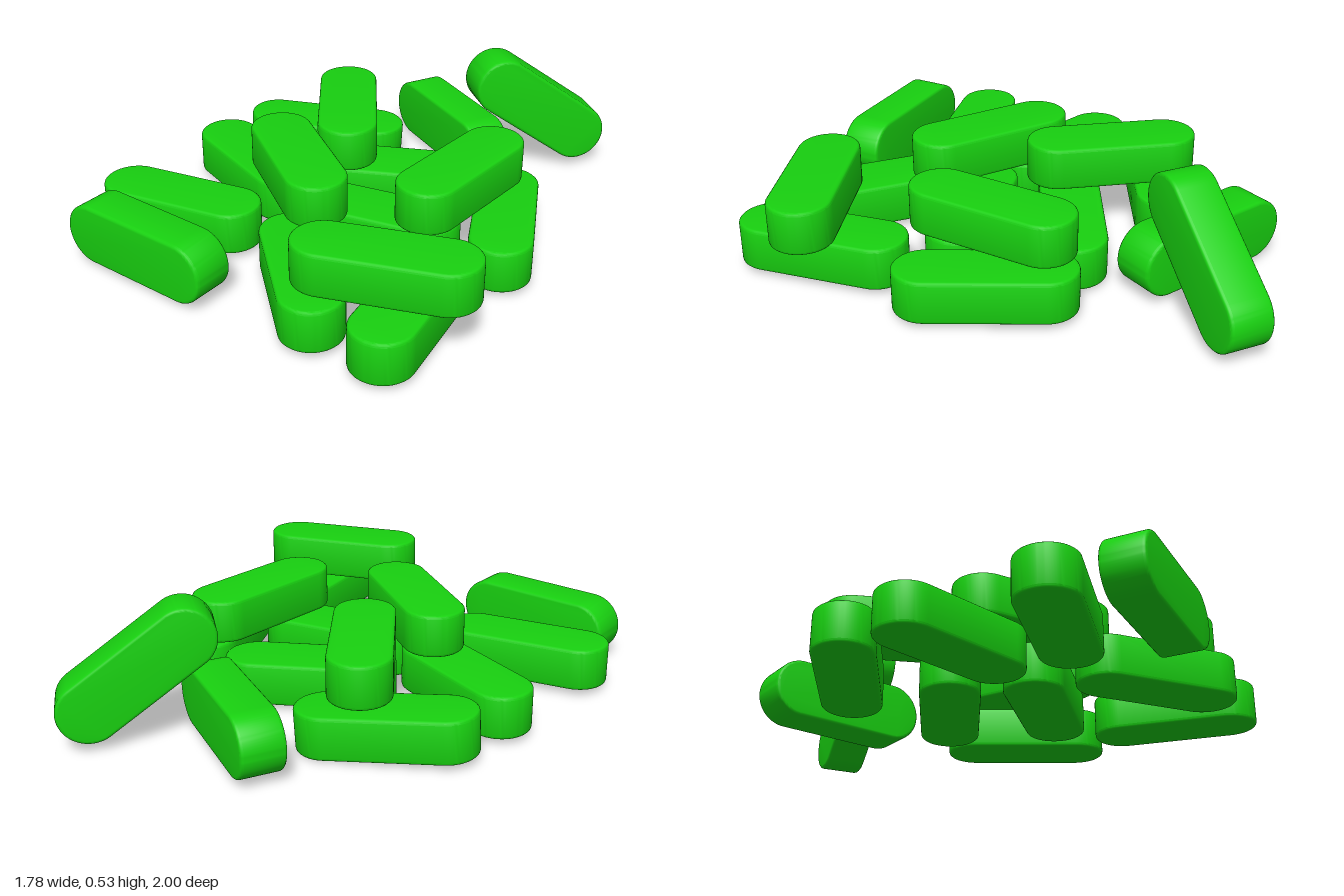
import * as THREE from 'three';
import { toCreasedNormals } from 'three/addons/utils/BufferGeometryUtils.js';

const RADIUS = 0.12, HALF = 0.215, THICK = 0.168, BEVEL = 0.012;

// One bar with round ends: long axis x, thickness y, softly bevelled rims
function barGeometry() {
  const r = RADIUS - BEVEL;
  const shape = new THREE.Shape();
  shape.absarc(HALF, 0, r, -Math.PI / 2, Math.PI / 2, false);
  shape.absarc(-HALF, 0, r, Math.PI / 2, Math.PI * 1.5, false);
  shape.closePath();
  const geo = new THREE.ExtrudeGeometry(shape, {
    depth: THICK - 2 * BEVEL, bevelEnabled: true, bevelThickness: BEVEL,
    bevelSize: BEVEL, bevelSegments: 3, curveSegments: 20,
  });
  geo.translate(0, 0, BEVEL - THICK / 2);
  geo.rotateX(-Math.PI / 2);
  return toCreasedNormals(geo, 0.6);
}

// Bars by the centres of their two round ends: [x, y, z, x, y, z]
const LOW = 0.108, HIGH = 0.293, EDGE = 0.14;
const lowerBars = [
  [-0.77, LOW, 0.30, -0.345, LOW, 0.325],
  [-0.48, LOW, -0.48, -0.06, 0.088, -0.57],
  [-0.05, LOW, -0.18, 0.37, 0.1, -0.27],
  [-0.60, LOW, -0.22, -0.25, LOW, 0.03],
  [-0.02, LOW, 0.145, 0.41, LOW, 0.17],
  [0.625, LOW, -0.205, 0.70, LOW, 0.22],
  [0.52, LOW, 0.45, 0.465, LOW, 0.875],
  [-0.045, LOW, 0.43, 0.18, LOW, 0.795],
];
const upperBars = [
  [-0.175, HIGH, -0.545, -0.03, HIGH, -0.135],
  [-0.265, HIGH, -0.01, 0.01, HIGH, 0.32],
  [0.565, HIGH, -0.2, 0.41, HIGH, 0.24],
  [0.2, HIGH, 0.725, 0.63, HIGH, 0.69],
];
const edgeBars = [
  [-0.737, EDGE, 0.586, -0.325, EDGE, 0.71],
  [0.09, EDGE, -0.865, 0.405, EDGE, -0.572],
];
const leaningBars = [
  [0.46, 0.407, -0.662, 0.75, 0.155, -0.858],
];

export function createModel() {
  const model = new THREE.Group();
  model.name = 'barPile';
  const geometry = barGeometry();
  const material = new THREE.MeshStandardMaterial({ color: 0x18d010 });
  const up = new THREE.Vector3(0, 1, 0);

  function addBars(name, bars, onEdge) {
    const group = new THREE.Group();
    group.name = name + 's';
    bars.forEach((b, i) => {
      const p = new THREE.Vector3(b[0], b[1], b[2]);
      const q = new THREE.Vector3(b[3], b[4], b[5]);
      const dir = q.clone().sub(p).normalize();
      const side = dir.clone().cross(up).normalize();
      // Thickness points up for lying bars, sideways for bars on edge
      const thick = onEdge ? side : side.clone().cross(dir);
      const mesh = new THREE.Mesh(geometry, material);
      mesh.name = name + (i + 1);
      mesh.quaternion.setFromRotationMatrix(
        new THREE.Matrix4().makeBasis(dir, thick, dir.clone().cross(thick)));
      mesh.position.copy(p).add(q).multiplyScalar(0.5);
      group.add(mesh);
    });
    model.add(group);
  }

  addBars('lowerBar', lowerBars, false);
  addBars('upperBar', upperBars, false);
  addBars('edgeBar', edgeBars, true);
  addBars('leaningBar', leaningBars, true);
  return model;
}
